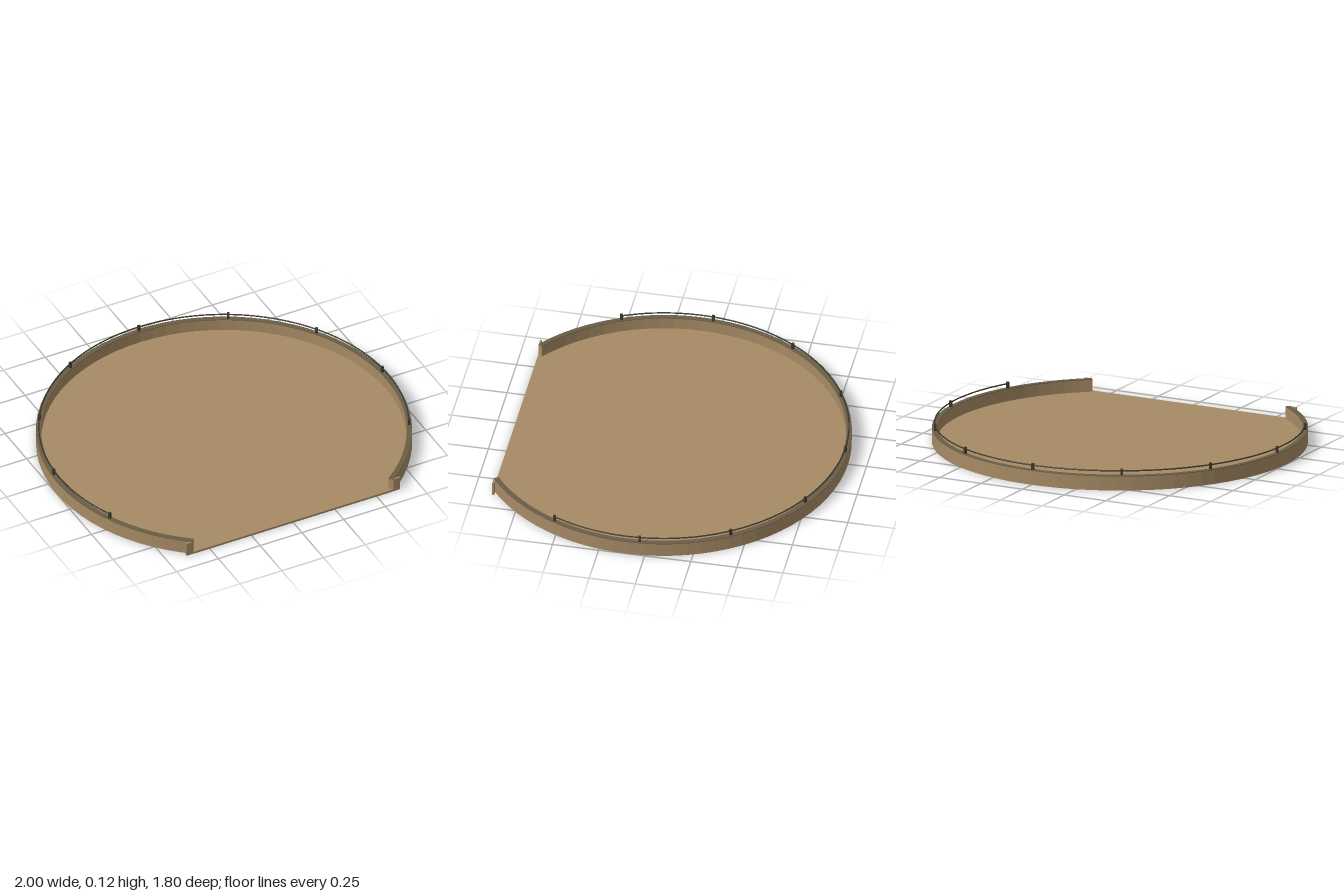
import * as THREE from 'three';

const CENTRE_Z = 0.1;   // circle centre; the front is cut off by a chord
const SWEEP = 2.5;      // half angle of the wall, measured from the back
const FLOOR_H = 0.012, WALL_H = 0.08, RAIL_R = 0.985, RAIL_Y = 0.105;

const tan = new THREE.MeshStandardMaterial({ color: 0xa68a64 });
tan.name = 'sandstone';
const olive = new THREE.MeshStandardMaterial({ color: 0x6b5d47 });
olive.name = 'dark coping';
const dark = new THREE.MeshStandardMaterial({ color: 0x3a3a30 });
dark.name = 'dark metal';

// Points on an arc in plan, running from the left front round the back
function arc(radius, half, steps) {
  return Array.from({ length: steps + 1 }, (_, i) => {
    const a = -half + (2 * half * i) / steps;
    return new THREE.Vector2(radius * Math.sin(a), radius * Math.cos(a) - CENTRE_Z);
  });
}

// Plan outline raised from y0 to y1
function slab(points, y0, y1) {
  const geo = new THREE.ExtrudeGeometry(new THREE.Shape(points), { depth: y1 - y0, bevelEnabled: false });
  return geo.rotateX(-Math.PI / 2).translate(0, y0, 0);
}

function band(inner, outer, y0, y1) {
  return slab([...arc(outer, SWEEP, 64), ...arc(inner, SWEEP, 64).reverse()], y0, y1);
}

export function createModel() {
  const group = new THREE.Group();
  group.name = 'roundTerrace';
  const add = (name, geo, mat) => {
    const mesh = new THREE.Mesh(geo, mat);
    mesh.name = name;
    group.add(mesh);
    return mesh;
  };

  // Floor with a straight front edge, and a flush round inlay
  add('floor', slab(arc(1, SWEEP, 64), 0, FLOOR_H), tan);
  add('floorInlay', new THREE.CircleGeometry(0.51, 48).rotateX(-Math.PI / 2), tan)
    .position.set(0, FLOOR_H + 0.0005, CENTRE_Z);

  // Parapet wall and its darker top
  add('wall', band(0.972, 1, FLOOR_H, WALL_H - 0.003), tan);
  add('wallCoping', band(0.972, 1, WALL_H - 0.003, WALL_H), olive);

  // Small plates beside the front opening
  for (const side of [-1, 1]) {
    add(side > 0 ? 'leftEndPlate' : 'rightEndPlate', new THREE.BoxGeometry(0.04, WALL_H - 0.002, 0.01), tan)
      .position.set(side * 0.619, (WALL_H - 0.002) / 2, 0.895);
  }

  // Handrail along the back and sides
  const path = new THREE.CatmullRomCurve3(
    arc(RAIL_R, 2, 32).map((p) => new THREE.Vector3(p.x, RAIL_Y, -p.y)));
  add('handrail', new THREE.TubeGeometry(path, 96, 0.004, 6), dark);

  // Rail posts, evenly spaced
  const postGeo = new THREE.BoxGeometry(0.013, 0.036, 0.013);
  arc(RAIL_R, 2, 8).forEach((p, i) => {
    const post = add('railPost' + (i + 1), postGeo, dark);
    post.position.set(p.x, WALL_H + 0.017, -p.y);
    post.rotation.y = 2 - i * 0.5;
  });
  return group;
}
